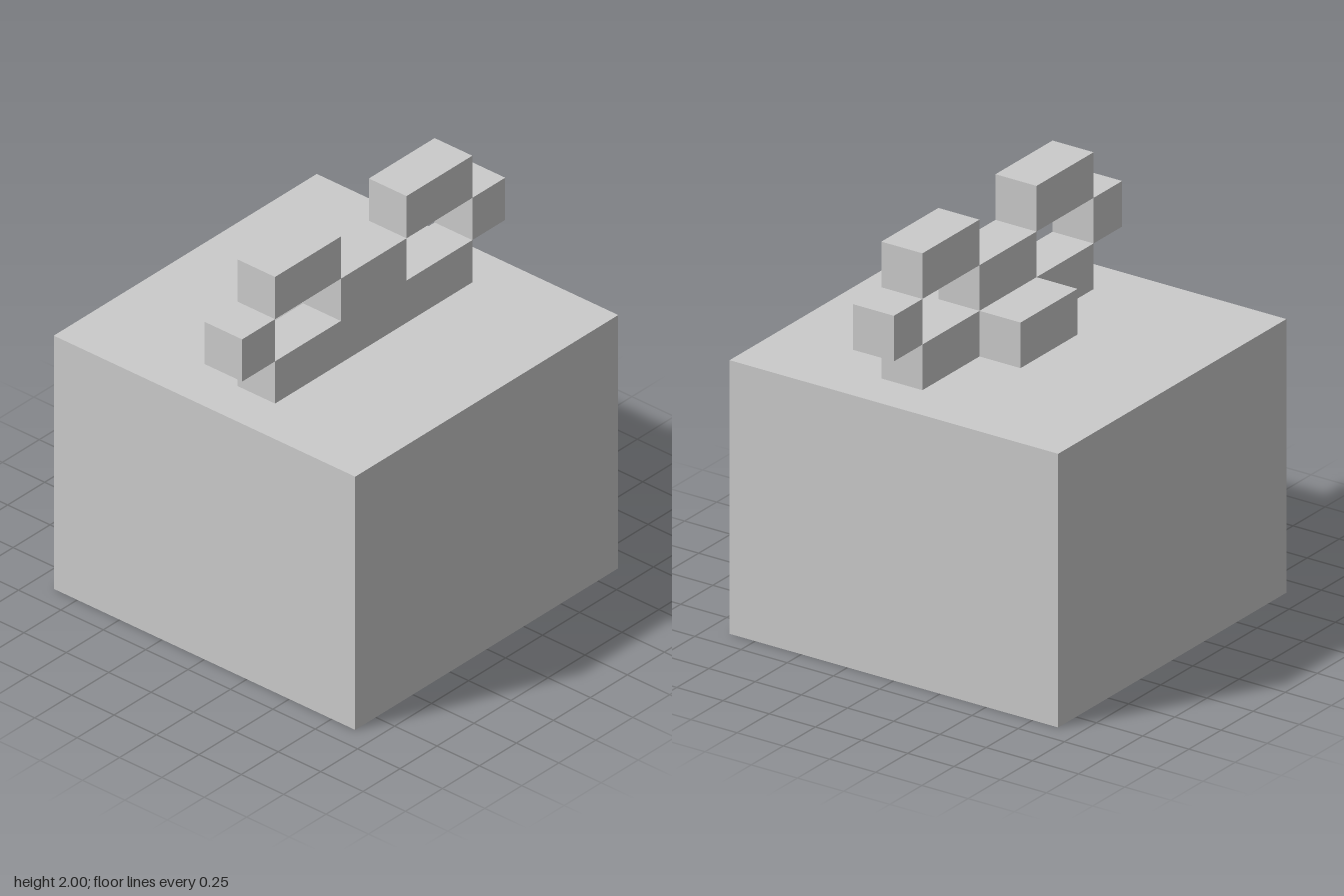
import * as THREE from 'three';

const U = 2 / 9; // edge of one block

export function createModel() {
  const model = new THREE.Group();
  model.name = 'giftBox';
  const material = new THREE.MeshStandardMaterial({ color: 0xcccccc, flatShading: true });

  // Box between two corners, given in blocks
  function block(name, [x0, y0, z0], [x1, y1, z1], parent) {
    const geometry = new THREE.BoxGeometry((x1 - x0) * U, (y1 - y0) * U, (z1 - z0) * U);
    const mesh = new THREE.Mesh(geometry, material);
    mesh.position.set((x0 + x1) / 2 * U, (y0 + y1) / 2 * U, (z0 + z1) / 2 * U);
    mesh.name = name;
    parent.add(mesh);
  }

  block('box', [-4, 0, -4], [4, 6, 4], model);

  // Bow standing on the lid
  const bow = new THREE.Group();
  bow.name = 'bow';
  model.add(bow);
  block('bowBase', [-3, 6, 0], [3, 7, 1], bow);
  block('bowKnot', [-1, 7, 0], [1, 8, 1], bow);
  block('bowBackKnot', [-1, 6, -1], [1, 7, 0], bow);

  // Open loops, left and right
  for (const [side, s] of [['left', 1], ['right', -1]]) {
    const span = (a, b) => (s > 0 ? [a, b] : [-b, -a]);
    const [t0, t1] = span(1, 3);
    const [e0, e1] = span(3, 4);
    block(side + 'LoopTop', [t0, 8, 0], [t1, 9, 1], bow);
    block(side + 'LoopEnd', [e0, 7, 0], [e1, 8, 1], bow);
  }

  return model;
}
